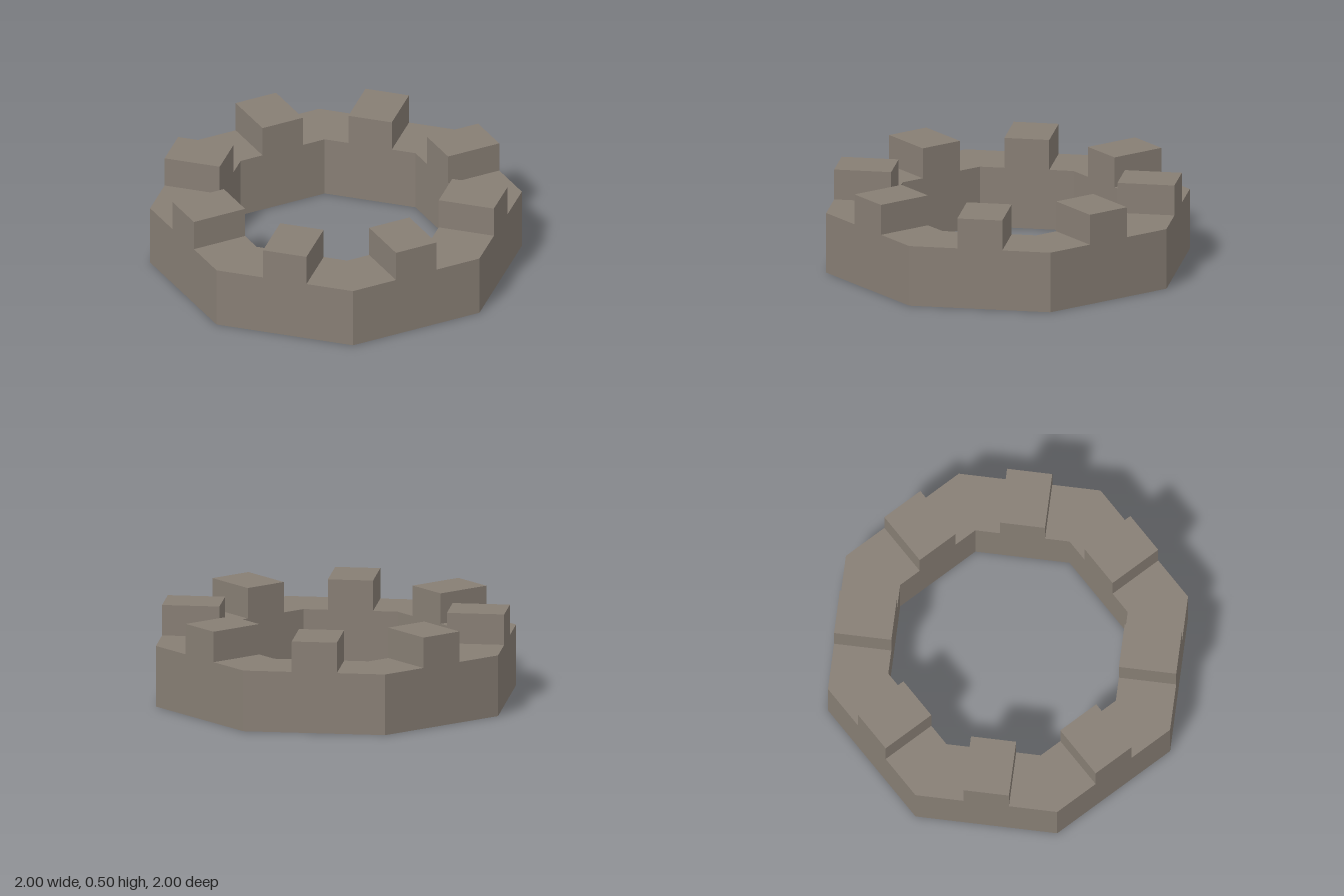
import * as THREE from 'three';

const SIDES = 8;
const HALF = Math.PI / SIDES;
const OUTER = 1, INNER = 0.665;      // corner radii of the ring
const WALL = 0.333, TOP = 0.5;       // wall and battlement heights
const M = 0.122;                     // half width of a battlement

const stone = new THREE.MeshStandardMaterial({ color: 0x877e74, side: THREE.DoubleSide });
stone.name = 'stone';

function part(name, geometry) {
  const mesh = new THREE.Mesh(geometry, stone);
  mesh.name = name;
  return mesh;
}

function flat(points) {
  return new THREE.ShapeGeometry(new THREE.Shape(points.map(([x, y]) => new THREE.Vector2(x, y))));
}

// Upright wall whose outline rises into a battlement in the middle
function wallFace(h) {
  return flat([[-h, 0], [h, 0], [h, WALL], [M, WALL], [M, TOP], [-M, TOP], [-M, WALL], [-h, WALL]]);
}

// One side of the ring, facing +z; a shell open underneath
function makeSide() {
  const side = new THREE.Group();
  const ho = OUTER * Math.sin(HALF), zo = OUTER * Math.cos(HALF);
  const hi = INNER * Math.sin(HALF), zi = INNER * Math.cos(HALF);
  const depth = zo - zi, mid = (zo + zi) / 2;

  side.add(part('outerWall', wallFace(ho).translate(0, 0, zo)));
  side.add(part('innerWall', wallFace(hi).rotateY(Math.PI).translate(0, 0, zi)));

  // Walkway pieces either side of the battlement
  const right = [[M, -zo], [ho, -zo], [hi, -zi], [M, -zi]];
  const left = right.map(([x, y]) => [-x, y]).reverse();
  for (const outline of [right, left]) {
    side.add(part('walkway', flat(outline).rotateX(-Math.PI / 2).translate(0, WALL, 0)));
  }

  // Battlement top and ends
  side.add(part('battlementTop',
    new THREE.PlaneGeometry(2 * M, depth).rotateX(-Math.PI / 2).translate(0, TOP, mid)));
  for (const s of [-1, 1]) {
    side.add(part('battlementEnd',
      new THREE.PlaneGeometry(depth, TOP - WALL).rotateY(s * Math.PI / 2)
        .translate(s * M, (TOP + WALL) / 2, mid)));
  }
  return side;
}

export function createModel() {
  const model = new THREE.Group();
  model.name = 'battlementRing';
  for (let i = 0; i < SIDES; i++) {
    const side = makeSide();
    side.name = 'ringSide' + (i + 1);
    side.rotation.y = HALF * (2 * i + 1);
    model.add(side);
  }
  return model;
}
